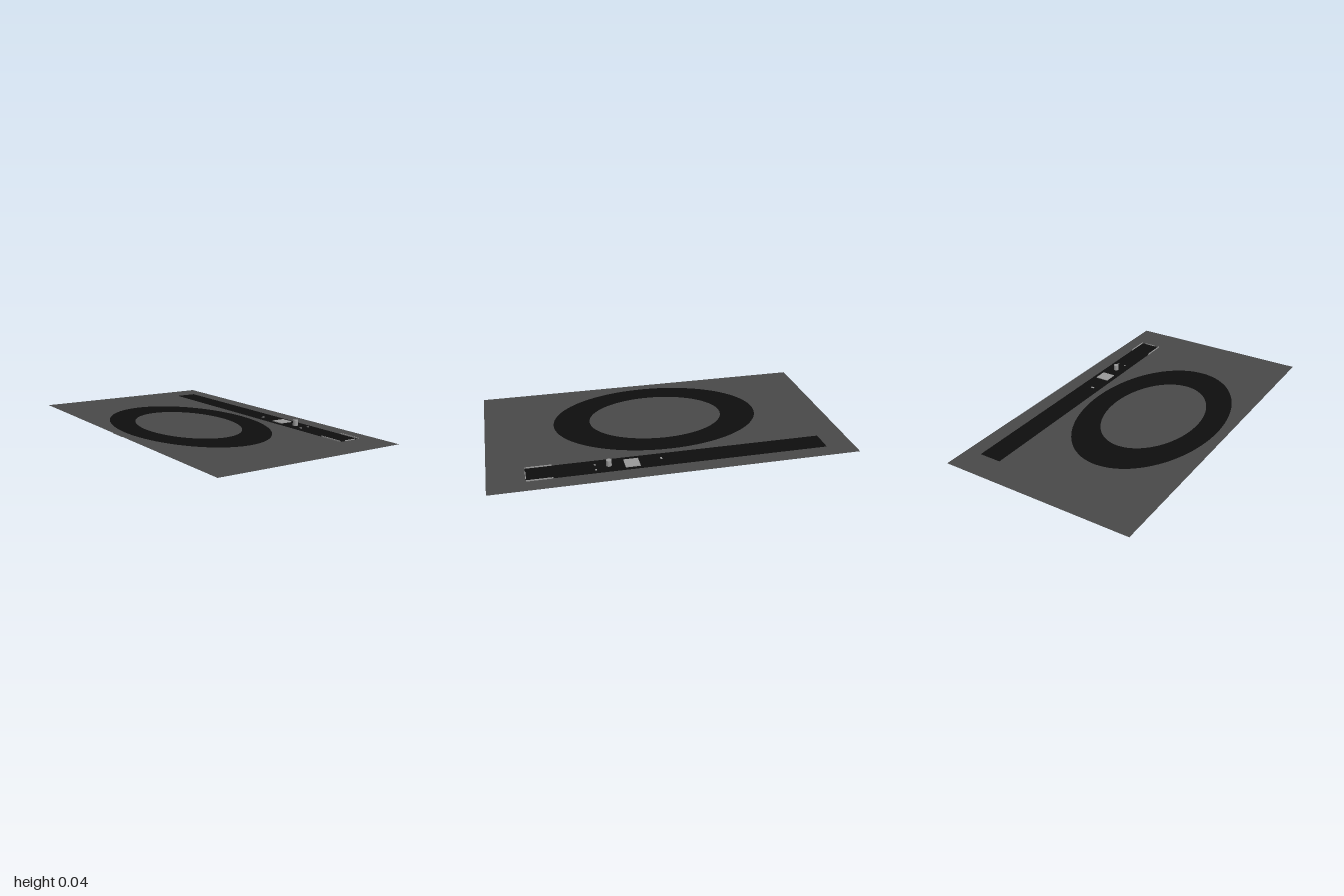
import * as THREE from 'three';

const Y = 0.004; // height of the flat sheet

export function createModel() {
  const model = new THREE.Group();
  model.name = 'flatDeck';

  const material = (name, color) => {
    const m = new THREE.MeshStandardMaterial({ color, side: THREE.DoubleSide });
    m.name = name;
    return m;
  };
  const deckGrey = material('deckGrey', 0x484848);
  const black = material('black', 0x0e0e0e);
  const lightGrey = material('lightGrey', 0x999999);

  const add = (name, geometry, mat, x = 0, y = 0, z = 0) => {
    const mesh = new THREE.Mesh(geometry, mat);
    mesh.name = name;
    mesh.position.set(x, y, z);
    model.add(mesh);
    return mesh;
  };

  // Outlines are drawn in plan, with shape y = -z
  const ellipse = (rx, rz, Kind) => {
    const s = new Kind();
    s.absellipse(-0.1, 0, rx, rz, 0, Math.PI * 2, false, 0);
    return s;
  };
  const rect = (x0, x1, z0, z1, Kind) => new Kind([
    [x0, -z1], [x1, -z1], [x1, -z0], [x0, -z0],
  ].map(([x, y]) => new THREE.Vector2(x, y)));
  const sheet = (name, shape, mat) =>
    add(name, new THREE.ShapeGeometry(shape, 48).rotateX(-Math.PI / 2), mat, 0, Y, 0);
  const box = (name, w, h, d, mat, x, y, z) =>
    add(name, new THREE.BoxGeometry(w, h, d), mat, x, y + h / 2, z);

  // Deck sheet with openings for the ring and the strip
  const deck = rect(-0.56, 0.56, -1, 1, THREE.Shape);
  deck.holes.push(ellipse(0.4, 0.606, THREE.Path), rect(0.34, 0.47, -0.845, 0.8, THREE.Path));
  sheet('deck', deck, deckGrey);

  // Oval ring and the deck surface inside it
  const ring = ellipse(0.4, 0.606, THREE.Shape);
  ring.holes.push(ellipse(0.268, 0.395, THREE.Path));
  sheet('ovalRing', ring, black);
  sheet('ovalCentre', ellipse(0.268, 0.395, THREE.Shape), deckGrey);

  // Long control strip
  sheet('controlStrip', rect(0.34, 0.47, -0.845, 0.8, THREE.Shape), black);

  // Low rims beside the front end of the strip
  for (const x of [0.34, 0.47]) box('stripRim', 0.004, 0.006, 0.14, lightGrey, x, Y, 0.73);
  box('stripEndRim', 0.07, 0.004, 0.004, lightGrey, 0.41, Y, 0.8);

  // Parts set through the strip
  box('squarePad', 0.08, 0.008, 0.08, lightGrey, 0.407, 0, 0.24);
  add('knob', new THREE.CylinderGeometry(0.015, 0.015, 0.037, 16), lightGrey, 0.405, 0.0185, 0.363);
  box('slotMark', 0.02, 0.006, 0.01, lightGrey, 0.392, 0, 0.077);
  for (const x of [0.385, 0.437]) box('smallPin', 0.01, 0.006, 0.01, lightGrey, x, 0, 0.436);

  // Small pad on the underside
  box('undersidePad', 0.1, 0.003, 0.1, lightGrey, -0.507, 0, 0.017);

  return model;
}
